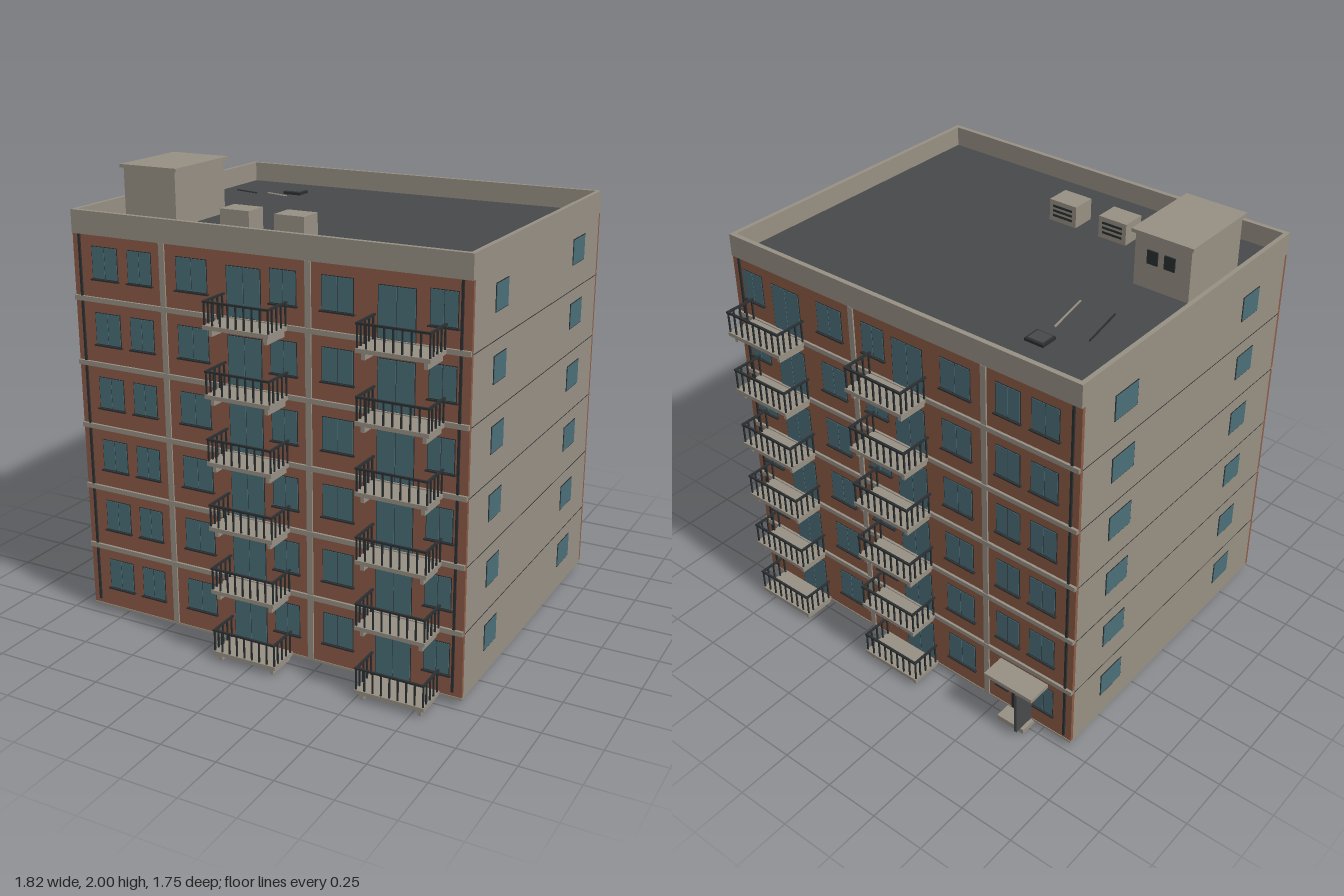
import * as THREE from 'three';

const mat = (name, color) => {
  const m = new THREE.MeshStandardMaterial({ color });
  m.name = name;
  return m;
};

export function createModel() {
  const concrete = mat('concrete', 0x968f83);
  const brick = mat('brick', 0x8c5a46);
  const glass = mat('glass', 0x4a6e78);
  const dark = mat('dark metal', 0x2b2f31);
  const roofing = mat('roofing', 0x46494a);

  const root = new THREE.Group();
  root.name = 'apartmentBlock';
  const group = (name, parent) => {
    const g = new THREE.Group();
    g.name = name;
    parent.add(g);
    return g;
  };
  // Box given by its lower and upper limits on each axis
  const box = (parent, name, m, x0, x1, y0, y1, z0, z1) => {
    const mesh = new THREE.Mesh(new THREE.BoxGeometry(x1 - x0, y1 - y0, z1 - z0), m);
    mesh.position.set((x0 + x1) / 2, (y0 + y1) / 2, (z0 + z1) / 2);
    mesh.name = name;
    parent.add(mesh);
    return mesh;
  };

  const FLOORS = 6, PITCH = 0.285, BASE = 0.04;
  const W = 0.905, FACE = 0.725;
  const floorY = (n) => BASE + n * PITCH;

  // Core, roof and parapet
  box(root, 'core', concrete, -W, W, 0.03, 1.745, -0.71, 0.71);
  box(root, 'roof', roofing, -0.885, 0.885, 1.745, 1.75, -0.71, 0.71);
  for (const s of [-1, 1]) {
    const z = [s * 0.708, s * 0.73].sort((a, b) => a - b);
    const x = [s * 0.885, s * W].sort((a, b) => a - b);
    box(root, 'parapetLong', concrete, -W, W, 1.74, 1.84, z[0], z[1]);
    box(root, 'parapetShort', concrete, x[0], x[1], 1.745, 1.84, -0.708, 0.708);
  }

  // Glazed opening: dark frame, glass panes and a sill, facing +z at depth z
  const glazing = (parent, name, x0, x1, y0, y1, z, panes, sill) => {
    const g = group(name, parent);
    box(g, 'frame', dark, x0, x1, y0, y1, z - 0.002, z + 0.002);
    const b = 0.003, w = (x1 - x0 - b) / panes;
    for (let i = 0; i < panes; i++) {
      const px = x0 + b + i * w;
      box(g, 'pane', glass, px, px + w - b, y0 + b, y1 - b, z, z + 0.004);
    }
    if (sill) box(g, 'sill', dark, x0 - 0.006, x1 + 0.006, y0 - 0.006, y0, z - 0.002, z + 0.012);
  };

  // Balcony with slab, brackets and railing
  const balcony = (parent, x0, x1, y) => {
    const g = group('balcony', parent);
    const zf = 0.872, top = y + 0.106;
    box(g, 'slab', concrete, x0, x1, y - 0.01, y + 0.007, 0.72, 0.877);
    for (const bx of [x0 + 0.025, x1 - 0.025])
      box(g, 'bracket', concrete, bx - 0.008, bx + 0.008, y - 0.04, y - 0.01, 0.72, 0.86);
    box(g, 'frontRail', dark, x0, x1, top - 0.008, top, zf - 0.006, zf + 0.004);
    for (const rx of [x0, x1 - 0.01])
      box(g, 'sideRail', dark, rx, rx + 0.01, top - 0.008, top, 0.725, zf);
    const r = 0.0032;
    for (let i = 0; i <= 8; i++) {
      const px = x0 + 0.005 + (i * (x1 - x0 - 0.01)) / 8;
      box(g, 'baluster', dark, px - r, px + r, y, top - 0.004, zf - 2 * r, zf);
    }
    for (const px of [x0 + 0.005, x1 - 0.005])
      for (let i = 0; i < 4; i++) {
        const pz = 0.738 + i * 0.034;
        box(g, 'sideBaluster', dark, px - r, px + r, y, top - 0.004, pz - r, pz + r);
      }
  };

  // Long facade, built facing +z
  const windows = [[-0.81, -0.68], [-0.63, -0.51], [-0.39, -0.24], [0.05, 0.17], [0.28, 0.42], [0.735, 0.85]];
  const balconies = [[-0.168, 0.132], [0.503, 0.808]];
  const facade = (name, isBack) => {
    const g = group(name, root);
    box(g, 'brickWall', brick, -W, W, BASE, 1.74, 0.71, FACE);
    box(g, 'baseStrip', concrete, -W, W, 0.03, BASE, 0.71, FACE + 0.003);
    for (const px of [-0.455, 0.222])
      box(g, 'pilaster', concrete, px - 0.013, px + 0.013, BASE, 1.74, 0.72, 0.732);
    for (const px of [-0.87, 0.865])
      box(g, 'downpipe', dark, px - 0.005, px + 0.005, 0.06, 1.74, FACE, 0.733);
    for (let n = 0; n < FLOORS; n++) {
      const y = floorY(n);
      if (n > 0) box(g, 'floorBand', concrete, -W, W, y - 0.01, y + 0.011, 0.715, 0.736);
      windows.forEach(([a, b], i) => {
        if (isBack && n === 0 && i === 1) a = -0.57;
        if (isBack && n === 0 && i === 0) b = -0.71;
        glazing(g, 'window', a, b, y + 0.09, y + 0.23, FACE, 2, true);
      });
      for (const [a, b] of balconies) {
        glazing(g, 'balconyDoor', a + 0.018, a + 0.178, y + 0.01, y + 0.22, FACE, 2, false);
        balcony(g, a, b, y);
      }
    }
    return g;
  };
  facade('frontFacade', false);
  const back = facade('backFacade', true);

  // Entrance on the back: doorway, open leaf, canopy and step
  const entry = group('entrance', back);
  box(entry, 'doorway', dark, -0.69, -0.59, BASE, 0.255, FACE - 0.002, FACE + 0.004);
  box(entry, 'doorLeaf', roofing, -0.697, -0.685, BASE, 0.255, FACE, 0.83);
  box(entry, 'canopy', concrete, -0.78, -0.53, 0.275, 0.293, 0.715, 0.838);
  box(entry, 'step', concrete, -0.71, -0.57, 0.012, 0.035, 0.69, 0.8);

  // Mirror the back facade to -z by moving its boxes, which keeps their faces outward
  back.traverse((o) => {
    if (o.isMesh) o.position.z *= -1;
  });

  // Plain end walls with small windows and thin panel seams
  for (const s of [-1, 1]) {
    const end = group(s > 0 ? 'leftEndWall' : 'rightEndWall', root);
    for (let n = 0; n < FLOORS; n++) {
      const y = floorY(n);
      for (const [z0, z1] of [[0.382, 0.51], [-0.522, -0.372]]) {
        box(end, 'windowFrame', dark, s * W - 0.002, s * W + 0.002, y + 0.105, y + 0.22, z0, z1);
        box(end, 'windowPane', glass, s * W - 0.004, s * W + 0.004, y + 0.109, y + 0.216, z0 + 0.004, z1 - 0.004);
      }
      if (n > 0)
        box(end, 'seam', dark, s * W - 0.001, s * W + 0.001, y - 0.007, y - 0.004, -0.71, 0.71);
    }
  }

  // Roof house with overhanging lid and two small openings
  const house = group('roofHouse', root);
  box(house, 'walls', concrete, -0.81, -0.55, 1.75, 1.985, 0.105, 0.48);
  box(house, 'lid', concrete, -0.824, -0.537, 1.985, 2, 0.09, 0.49);
  for (const x of [-0.715, -0.635])
    box(house, 'opening', dark, x - 0.025, x + 0.025, 1.865, 1.925, 0.099, 0.106);

  // Vent boxes with slots
  for (const x of [-0.343, -0.083]) {
    const vent = group('ventBox', root);
    box(vent, 'casing', concrete, x, x + 0.14, 1.75, 1.848, 0.35, 0.462);
    for (let i = 0; i < 3; i++)
      box(vent, 'slot', dark, x + 0.02, x + 0.12, 1.773 + i * 0.022, 1.783 + i * 0.022, 0.347, 0.351);
  }

  // Roof hatch and low slanted rails
  box(root, 'hatchFrame', dark, -0.565, -0.475, 1.75, 1.762, -0.51, -0.43);
  box(root, 'hatchCover', roofing, -0.555, -0.485, 1.76, 1.766, -0.502, -0.438);
  for (const [x, m] of [[-0.675, dark], [-0.512, concrete]]) {
    const rail = box(root, 'roofRail', m, x - 0.003, x + 0.003, 1.773, 1.779, -0.37, -0.2);
    rail.rotation.x = -0.24;
  }

  return root;
}
